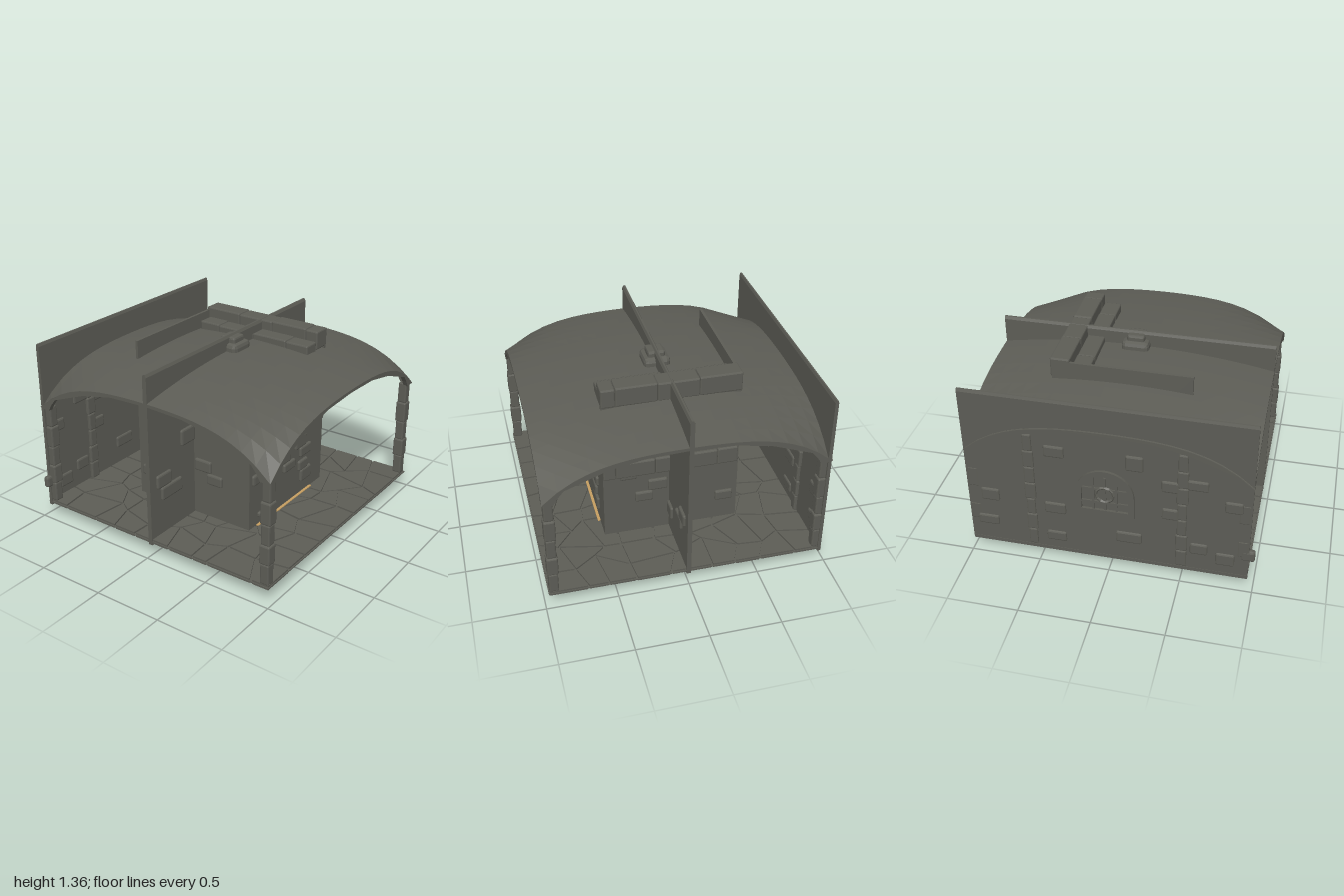
import * as THREE from 'three';
import { RoundedBoxGeometry } from 'three/addons/geometries/RoundedBoxGeometry.js';

export function createModel() {
  const model = new THREE.Group();
  const stone = new THREE.MeshStandardMaterial({ color: 0x5c5c55, side: THREE.DoubleSide, flatShading: true });
  stone.name = 'greyStone';
  const amber = new THREE.MeshStandardMaterial({ color: 0xc49d60 });
  amber.name = 'amberGlow';

  let seed = 7;
  const rnd = () => (seed = (seed * 16807) % 2147483647) / 2147483647;

  const add = (name, geo, parent = model, mat = stone) => {
    const m = new THREE.Mesh(geo, mat);
    m.name = name;
    parent.add(m);
    return m;
  };
  const group = (name) => {
    const g = new THREE.Group();
    g.name = name;
    model.add(g);
    return g;
  };
  // box given by its limits on each axis, optionally with softened edges
  const block = (name, x0, x1, y0, y1, z0, z1, parent = model, r = 0) => {
    const s = [x1 - x0, y1 - y0, z1 - z0];
    const geo = r ? new RoundedBoxGeometry(...s, 1, Math.min(r, Math.min(...s) * 0.45)) : new THREE.BoxGeometry(...s);
    const m = add(name, geo, parent);
    m.position.set((x0 + x1) / 2, (y0 + y1) / 2, (z0 + z1) / 2);
    return m;
  };
  const shapeOf = (pts) => new THREE.Shape(pts.map(([a, b]) => new THREE.Vector2(a, b)));
  const extrude = (shape, depth) => new THREE.ExtrudeGeometry(shape, { depth, bevelEnabled: false, curveSegments: 10 });

  const CX = 0.015, H = 0.975;
  const roofY = (u, w) => 1.25 - 0.09 * (u * u + w * w) - 0.19 * Math.pow(u * w, 4);

  // ---- flagstone floor: jittered cells shrunk slightly to leave joints
  const floor = group('floor');
  block('floorBed', CX - H, CX + H, 0.112, 0.12, -H, H, floor);
  const flagstones = (name, n, half, y, h, shrink) => {
    const at = [];
    for (let i = 0; i <= n; i++) for (let j = 0; j <= n; j++) {
      const jit = (k) => (k === 0 || k === n ? 0 : (rnd() - 0.5) * 0.75);
      at.push(new THREE.Vector2((((i + jit(i)) / n) * 2 - 1) * half, (((j + jit(j)) / n) * 2 - 1) * half));
    }
    for (let i = 0; i < n; i++) for (let j = 0; j < n; j++) {
      const k = i * (n + 1) + j;
      const c = [at[k], at[k + n + 1], at[k + n + 2], at[k + 1]];
      const mid = c.reduce((s, p) => s.add(p), new THREE.Vector2()).multiplyScalar(0.25);
      const m = add(name, extrude(new THREE.Shape(c.map((p) => p.clone().lerp(mid, shrink))), h), floor);
      m.rotation.x = -Math.PI / 2;
      m.position.set(CX, y, 0);
    }
  };
  flagstones('flagstone', 9, H, 0.1, 0.033, 0.07);
  flagstones('underRubble', 9, 0.36, 0.094, 0.01, 0.2);
  [[-0.35, 0.1, 0.08], [-0.2, 0.35, 0.08], [0.1, -0.45, 0.07]].forEach(([x, z, y]) =>
    block('underChip', x - 0.07, x + 0.07, y, 0.11, z - 0.02, z + 0.02, floor, 0.01));

  // ---- vaulted roof drooping at the corners
  const roof = new THREE.PlaneGeometry(2 * H, 2 * H, 18, 18).rotateX(-Math.PI / 2);
  const p = roof.attributes.position;
  for (let i = 0; i < p.count; i++) p.setY(i, roofY(p.getX(i) / H, p.getZ(i) / H));
  roof.computeVertexNormals();
  add('vaultRoof', roof).position.x = CX;

  // ---- arched ribs under the four roof edges
  const archBand = (() => {
    const top = [];
    for (let i = 0; i <= 20; i++) {
      const u = -1 + i / 10;
      top.push([u * H, roofY(u, 1) - 0.002]);
    }
    return shapeOf([...top, [0.9, 0.87], [0.87, 0.92], [0.83, 0.97], [0.55, 1.075], [0.3, 1.125], [0, 1.137],
      [-0.3, 1.125], [-0.55, 1.075], [-0.83, 0.97], [-0.87, 0.92], [-0.9, 0.87]]);
  })();
  const ribs = group('edgeArches');
  for (let k = 0; k < 4; k++) {
    const holder = new THREE.Group();
    holder.rotation.y = (k * Math.PI) / 2;
    holder.position.x = CX;
    ribs.add(holder);
    add('edgeArch', extrude(archBand, 0.035), holder).position.z = H - 0.035;
  }
  add('backOuterArch', extrude(archBand, 0.012), ribs).position.set(CX, 0, -0.982);

  // ---- stacked corner pillars
  const pillars = group('cornerPillars');
  for (const sx of [-1, 1]) for (const sz of [-1, 1]) {
    const ys = [0.13, 0.28, 0.42, 0.57, 0.73, 0.89];
    for (let i = 0; i < 5; i++) {
      const w = 0.033 + (i % 2) * 0.006;
      const x = CX + sx * (H - 0.04 - i * 0.002), z = sz * (H - 0.04);
      block('pillarStone', x - w, x + w, ys[i], ys[i + 1], z - w, z + w, pillars, 0.01);
    }
  }

  // ---- tall thin walls
  const wallProfile = (z, half) => shapeOf([[z - half, 0.09], [z + half, 0.09], [z + half, 1.34],
    [z + half * 0.4, 1.36], [z - half * 0.4, 1.36], [z - half, 1.34]]);
  const longWall = (name, z, half) => {
    const m = add(name, extrude(wallProfile(-z, half), 2 * H));
    m.rotation.y = Math.PI / 2;
    m.position.x = CX - H;
  };
  longWall('backWall', -0.96, 0.012);
  longWall('middleWall', 0, 0.016);

  // ---- inner chamber with a broken, stepped corner
  const chamber = group('innerChamber');
  const steps = [[-0.47, 0.83], [-0.36, 0.83], [-0.36, 0.9], [-0.24, 0.9], [-0.24, 0.98], [-0.12, 0.98],
    [-0.12, 1.05], [0.02, 1.05], [0.02, 1.19]];
  const broken = () => extrude(shapeOf([[0.5, 0.12], [0.5, 1.19], ...[...steps].reverse(), [-0.47, 0.12]]), 0.02);
  add('chamberFront', broken(), chamber).position.z = 0.47;
  const side = add('chamberLeftBroken', broken(), chamber);
  side.rotation.y = Math.PI / 2;
  side.position.set(-0.47, 0, 0.015);
  block('chamberSide', 0.48, 0.5, 0.12, 1.3, -0.49, 0.49, chamber);
  block('chamberBack', -0.47, 0.5, 0.12, 1.34, -0.49, -0.47, chamber);

  // coping stones above the roof and a course on the side wall
  const course = (name, cuts, x0, x1, y0, y1) => {
    for (let i = 0; i < cuts.length - 1; i++)
      block(name, x0, x1, y0, y1 - (i % 2) * 0.005, cuts[i], cuts[i + 1], chamber, 0.01);
  };
  course('highCoping', [-0.49, -0.19, 0.1, 0.39, 0.49], 0.375, 0.512, 1.22, 1.362);
  course('lowCoping', [-0.46, -0.29, 0.02, 0.3, 0.485], 0.25, 0.375, 1.17, 1.29);
  course('sideCourse', [-0.48, -0.33, -0.03, 0.12, 0.4, 0.49], 0.49, 0.522, 0.63, 0.76);

  // ---- roof cap over the centre
  block('capBase', -0.08, 0.115, 1.2, 1.305, -0.095, 0.095, model, 0.03);
  block('capTop', -0.045, 0.08, 1.29, 1.345, -0.062, 0.062, model, 0.015);

  // ---- raised bricks: [across, up, width, height]
  const bricks = group('raisedBricks');
  const alongX = (list, z0, z1) => list.forEach(([x, y, w, h]) =>
    block('brick', x - w / 2, x + w / 2, y - h / 2, y + h / 2, z0, z1, bricks, 0.012));
  const alongZ = (list, x0, x1) => list.forEach(([z, y, w, h]) =>
    block('brick', x0, x1, y - h / 2, y + h / 2, z - w / 2, z + w / 2, bricks, 0.012));
  const chamberBricks = [[0.22, 0.98, 0.12, 0.08], [0.26, 0.88, 0.14, 0.09], [-0.38, 0.51, 0.12, 0.08],
    [-0.16, 0.56, 0.12, 0.07], [-0.03, 0.53, 0.14, 0.1], [-0.22, 0.46, 0.15, 0.1], [0.03, 0.435, 0.15, 0.07],
    [0.18, 0.575, 0.15, 0.1], [0.25, 0.48, 0.15, 0.08], [0.22, 0.37, 0.12, 0.08], [0.26, 0.28, 0.14, 0.1],
    [-0.33, 0.21, 0.07, 0.04]];
  alongX(chamberBricks, 0.47, 0.51);
  alongX(chamberBricks.map(([x, ...r]) => [-x, ...r]), -0.51, -0.47);
  alongX([[-0.55, 0.78, 0.15, 0.12], [-0.82, 0.55, 0.15, 0.1], [-0.74, 0.445, 0.22, 0.1], [0.79, 0.425, 0.14, 0.09],
    [0.87, 0.51, 0.13, 0.09], [0.56, 0.32, 0.11, 0.1]], -0.035, 0.035);
  const sideBricks = [[0.31, 0.645, 0.12, 0.08], [0.1, 0.53, 0.14, 0.09], [0.2, 0.44, 0.13, 0.08], [-0.39, 0.34, 0.13, 0.08]];
  alongZ(sideBricks, 0.48, 0.52);
  alongZ(sideBricks.slice(1), -0.49, -0.455);
  alongX([[0.83, 0.52, 0.13, 0.1], [0.86, 0.29, 0.15, 0.08], [0.36, 0.96, 0.14, 0.09], [-0.18, 0.95, 0.12, 0.12],
    [0.37, 0.48, 0.15, 0.09], [0.37, 0.23, 0.14, 0.08], [-0.14, 0.31, 0.18, 0.09], [-0.6, 0.84, 0.14, 0.08],
    [-0.42, 0.8, 0.12, 0.09], [-0.42, 0.57, 0.11, 0.09], [-0.84, 0.7, 0.12, 0.09], [-0.8, 0.24, 0.13, 0.1],
    [-0.62, 0.3, 0.12, 0.09]], -0.985, -0.935);
  block('cornerBrick', -1.0, -0.9, 0.25, 0.335, -0.975, -0.93, bricks, 0.015);

  // ---- stone pilasters on both faces of the back wall
  const pilasters = group('pilasters');
  for (const x of [-0.5, 0.54]) for (let i = 0; i < 7; i++) {
    const w = 0.03 + rnd() * 0.012;
    block('pilasterStone', x - w, x + w, 0.13 + i * 0.135, 0.265 + i * 0.135, -0.983, -0.925, pilasters, 0.01);
  }

  // ---- arched window with grille, outside the back wall
  const win = group('window');
  win.position.set(0.02, 0.66, -0.99);
  const arch = (r, bottom, Kind) => {
    const s = new Kind();
    s.moveTo(-r, bottom);
    s.lineTo(r, bottom);
    s.lineTo(r, 0);
    s.absarc(0, 0, r, 0, Math.PI, false);
    s.closePath();
    return s;
  };
  const frame = arch(0.2, -0.17, THREE.Shape);
  frame.holes.push(arch(0.16, -0.13, THREE.Path));
  add('windowFrame', extrude(frame, 0.025), win);
  for (const x of [-0.08, 0, 0.08]) block('verticalBar', x - 0.008, x + 0.008, -0.14, 0.14, 0.008, 0.022, win);
  for (const y of [-0.07, 0.04]) block('crossBar', -0.16, 0.16, y - 0.008, y + 0.008, 0.008, 0.022, win);
  add('grilleRing', new THREE.TorusGeometry(0.06, 0.01, 4, 12), win).position.z = 0.01;

  // ---- amber lamp under the floor and strip at the chamber foot
  const lamp = add('lampBulb', new THREE.SphereGeometry(0.1, 24, 16), model, amber);
  lamp.scale.y = 0.65;
  lamp.position.set(0.02, 0.065, 0);
  const strip = add('lightStrip', new THREE.BoxGeometry(0.72, 0.008, 0.02), model, amber);
  strip.position.set(-0.02, 0.134, 0.5);

  return model;
}
